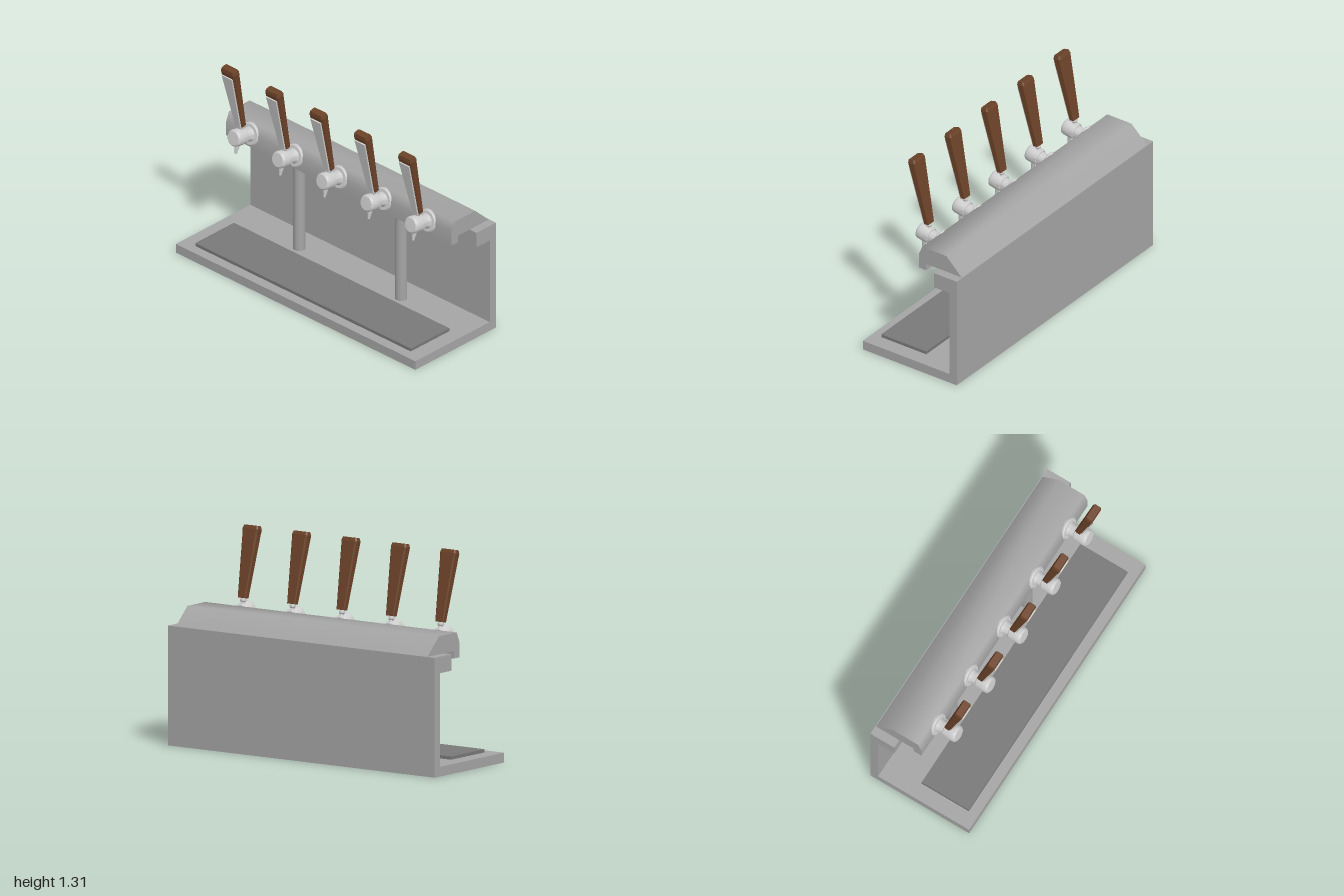
import * as THREE from 'three';
import { toCreasedNormals } from 'three/addons/utils/BufferGeometryUtils.js';

const mat = (color) => new THREE.MeshStandardMaterial({ color });
const metal = mat(0xcccccc);
const panel = mat(0xa4a4a4);
const dark = mat(0x787878);
const wood = mat(0x6b4228);

function add(parent, name, geometry, material, x = 0, y = 0, z = 0) {
  const mesh = new THREE.Mesh(geometry, material);
  mesh.name = name;
  mesh.position.set(x, y, z);
  parent.add(mesh);
  return mesh;
}

// Side profile of [z, y] points, extruded across x
function profileGeometry(points, width, crease) {
  const shape = new THREE.Shape(points.map(([z, y]) => new THREE.Vector2(z, y)));
  const g = new THREE.ExtrudeGeometry(shape, { depth: width, bevelEnabled: false });
  g.translate(0, 0, -width / 2);
  g.rotateY(-Math.PI / 2);
  return toCreasedNormals(g, crease);
}

// Turned part from [radius, height] points
function turned(points, crease = 0.6) {
  const g = new THREE.LatheGeometry(points.map(([r, y]) => new THREE.Vector2(r, y)), 32);
  return toCreasedNormals(g, crease);
}

// Loft through chamfered rectangles: [y, halfWidth, zBack, zFront, chamfer]
function loft(sections) {
  const pos = [], index = [], n = 8;
  for (const [y, w, b, f, c] of sections) {
    const ring = [[w, f - c], [w, b + c], [w - c, b], [c - w, b],
      [-w, b + c], [-w, f - c], [c - w, f], [w - c, f]];
    for (const [x, z] of ring) pos.push(x, y, z);
  }
  const top = (sections.length - 1) * n;
  for (let s = 0; s < top; s += n) {
    for (let i = 0; i < n; i++) {
      const j = (i + 1) % n;
      index.push(s + i, s + j, s + n + j, s + i, s + n + j, s + n + i);
    }
  }
  for (let i = 1; i < n - 1; i++) {
    index.push(0, i + 1, i, top, top + i, top + i + 1);
  }
  const g = new THREE.BufferGeometry();
  g.setAttribute('position', new THREE.Float32BufferAttribute(pos, 3));
  g.setIndex(index);
  const flat = g.toNonIndexed();
  flat.computeVertexNormals();
  return flat;
}

// Tap parts shared by all five taps
const flangeGeo = turned([[0, -0.02], [0.07, -0.02], [0.073, -0.012], [0.073, 0], [0.066, 0.007], [0, 0.009]]).rotateX(Math.PI / 2);
const neckGeo = turned([[0.05, 0], [0.044, 0.015], [0.04, 0.03], [0.041, 0.065], [0, 0.065]]).rotateX(Math.PI / 2);
const capGeo = turned([[0, 0.058], [0.046, 0.058], [0.051, 0.063], [0.054, 0.1], [0.054, 0.132],
  [0.051, 0.141], [0.044, 0.147], [0, 0.148]]).rotateX(Math.PI / 2);
const spoutGeo = turned([[0, -0.108], [0.008, -0.108], [0.01, -0.09], [0.018, -0.05], [0.02, -0.02]]);
const stemGeo = turned([[0.02, -0.06], [0.014, -0.035], [0.012, -0.025], [0.018, -0.018],
  [0.019, -0.01], [0.016, 0.003], [0, 0.003]]);
const handleGeo = loft([
  [0, 0.03, -0.023, 0.014, 0.005],
  [0.395, 0.055, -0.031, 0.025, 0.009],
  [0.42, 0.058, -0.031, 0.025, 0.009],
  [0.441, 0.051, -0.025, 0.018, 0.006],
]);
const plateGeo = loft([
  [0.004, 0.022, 0.008, 0.0235, 0.002],
  [0.396, 0.043, 0.019, 0.034, 0.002],
]);

function createTap() {
  const tap = new THREE.Group();
  tap.name = 'tap';

  // Faucet tilts upward at its front
  const faucet = new THREE.Group();
  faucet.name = 'faucet';
  faucet.position.set(0, 0.773, -0.026);
  faucet.rotation.x = -0.2;
  add(faucet, 'flange', flangeGeo, metal);
  add(faucet, 'neck', neckGeo, metal);
  add(faucet, 'cap', capGeo, metal);
  add(faucet, 'spout', spoutGeo, metal, 0, 0, 0.1);
  tap.add(faucet);

  // Lever leans forward
  const lever = new THREE.Group();
  lever.name = 'lever';
  lever.position.set(0, 0.87, 0.055);
  lever.rotation.x = 0.22;
  add(lever, 'leverStem', stemGeo, metal);
  add(lever, 'woodenHandle', handleGeo, wood);
  add(lever, 'handlePlate', plateGeo, metal);
  tap.add(lever);
  return tap;
}

export function createModel() {
  const model = new THREE.Group();
  model.name = 'tapStation';

  // Base, back wall and top ledge in one profile
  add(model, 'frame', profileGeometry([[0.35, 0], [0.35, 0.06], [-0.295, 0.06], [-0.295, 0.63],
    [-0.18, 0.63], [-0.18, 0.73], [-0.35, 0.73], [-0.35, 0]], 2, 0.3), panel);

  // Drip tray
  add(model, 'dripTray', new THREE.BoxGeometry(1.8, 0.02, 0.335), dark, 0, 0.07, 0.118);

  // Support posts
  for (const x of [-0.433, 0.418]) {
    add(model, 'post', new THREE.CylinderGeometry(0.037, 0.037, 0.68, 32), panel, x, 0.395, -0.13);
  }

  // Header with a front lip, smooth over its upper faces
  add(model, 'header', profileGeometry([[-0.025, 0.685], [-0.025, 0.78], [-0.05, 0.84], [-0.23, 0.84],
    [-0.345, 0.73], [-0.08, 0.73], [-0.08, 0.685]], 1.885, 1.3), panel);

  // Row of taps
  for (let i = -2; i <= 2; i++) {
    const tap = createTap();
    tap.position.x = i * 0.37 - 0.006;
    model.add(tap);
  }
  return model;
}
